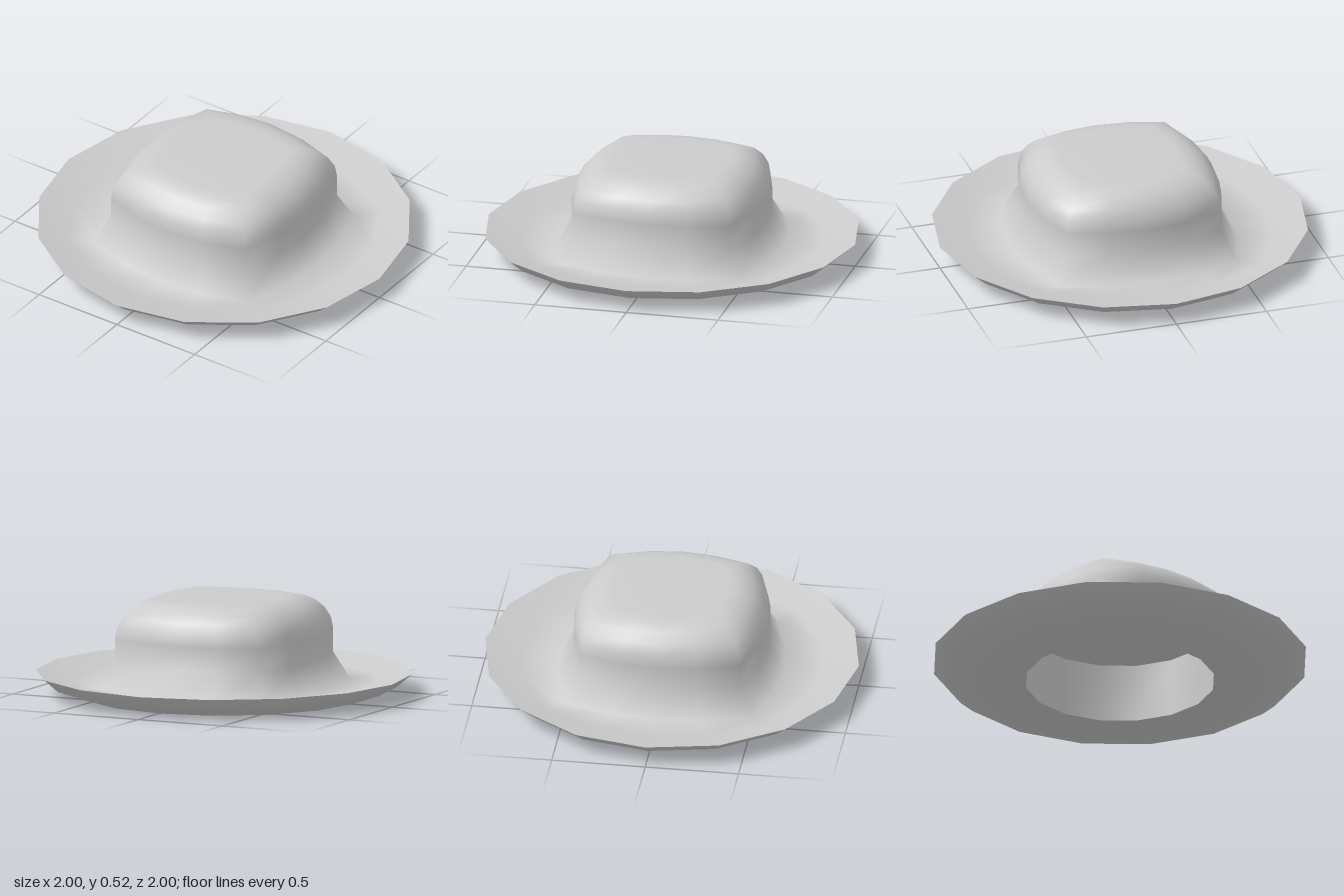
import * as THREE from 'three';

const SIDES = 16;
// Radius multipliers that turn the 16-sided ring into a rounded square
const SQUARE = [1, 1.035, 1.17, 1.035];

// Skin rings listed as [radius, height, squareness]; smooth normals within one skin.
// Rings running inward/upward face out and up; rings running outward/downward face in and down.
function skin(name, rings, material) {
  const positions = [];
  const index = [];
  rings.forEach(([radius, y, square = 0], i) => {
    for (let j = 0; j < SIDES; j++) {
      const angle = (j / SIDES) * Math.PI * 2;
      const r = radius * (1 + square * (SQUARE[j % 4] - 1));
      positions.push(r * Math.cos(angle), y, r * Math.sin(angle));
      if (i === rings.length - 1) continue;
      const a = i * SIDES + j;
      const b = i * SIDES + ((j + 1) % SIDES);
      index.push(a, a + SIDES, b, b, a + SIDES, b + SIDES);
    }
  });
  const geometry = new THREE.BufferGeometry();
  geometry.setAttribute('position', new THREE.Float32BufferAttribute(positions, 3));
  geometry.setIndex(index);
  geometry.computeVertexNormals();
  const mesh = new THREE.Mesh(geometry, material);
  mesh.name = name;
  return mesh;
}

export function createModel() {
  const group = new THREE.Group();
  group.name = 'hat';
  const material = new THREE.MeshStandardMaterial({ color: 0xcccccc });

  // Dished brim top, flaring up into the squared crown
  const upper = [[1, 0.12], [0.8, 0.075, 0.3], [0.6, 0.055, 1], [0.52, 0.2, 1]];
  // Rounded shoulder of the crown
  const steps = 5;
  for (let i = 0; i <= steps; i++) {
    const t = (i / steps) * Math.PI / 2;
    upper.push([0.31 + 0.21 * Math.cos(t), 0.325 + 0.2 * Math.sin(t), 1]);
  }
  upper.push([0, 0.525]);
  group.add(skin('crownAndBrimTop', upper, material));

  // Underside of the brim, and the round head opening
  group.add(skin('brimUnderside', [[0.505, 0], [0.76, 0], [0.925, 0.055], [1, 0.12]], material));
  group.add(skin('openingWall', [[0.505, 0.32], [0.505, 0]], material));
  group.add(skin('openingCeiling', [[0, 0.32], [0.505, 0.32]], material));

  return group;
}
